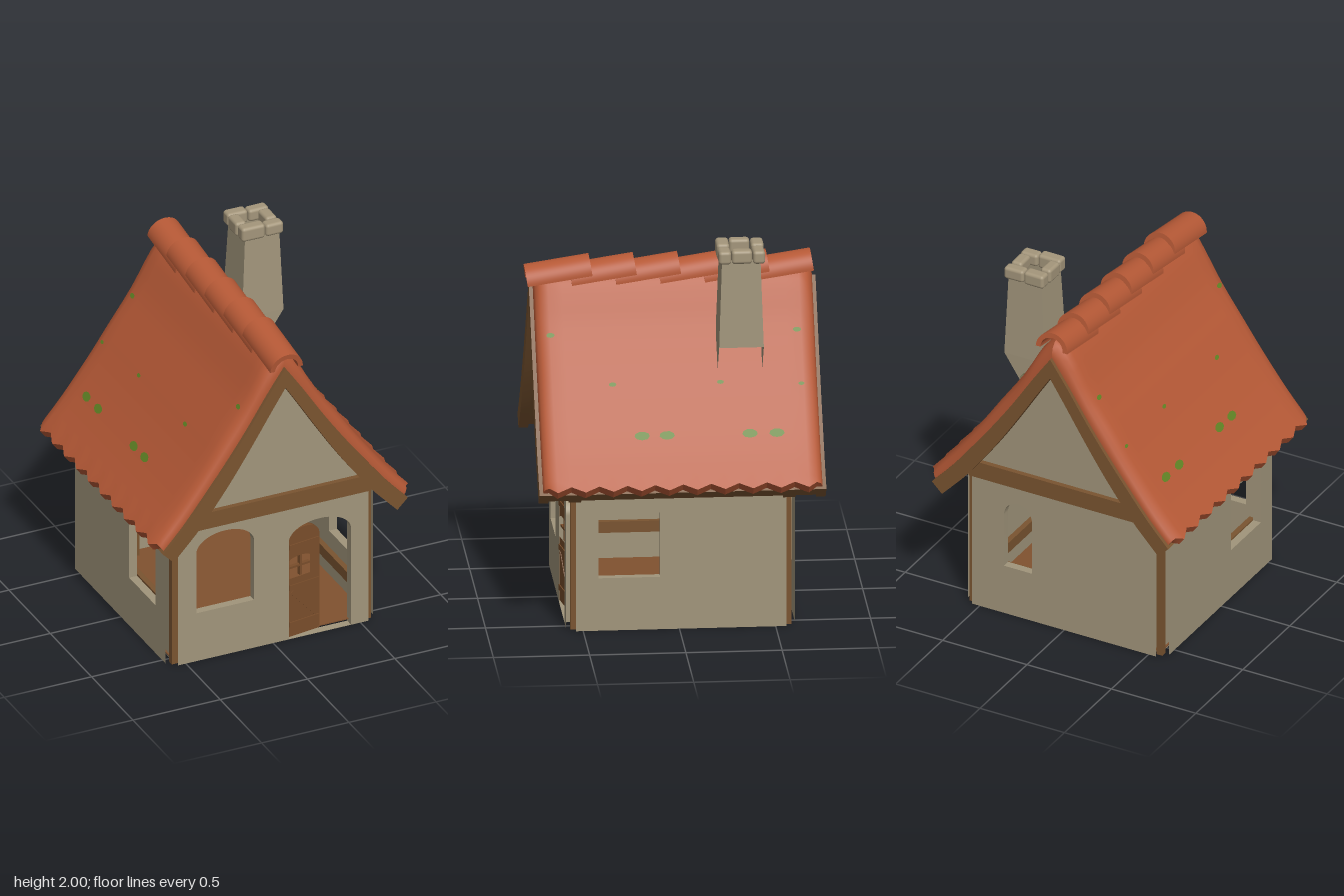
import * as THREE from 'three';
import { toCreasedNormals } from 'three/addons/utils/BufferGeometryUtils.js';
import { RoundedBoxGeometry } from 'three/addons/geometries/RoundedBoxGeometry.js';

const mat = (name, color, side = THREE.FrontSide) => {
  const m = new THREE.MeshStandardMaterial({ color, side });
  m.name = name;
  return m;
};
const V2 = (x, y) => new THREE.Vector2(x, y);
const spline = (pts, n) => new THREE.SplineCurve(pts.map(p => V2(...p))).getPoints(n);

// Slope profiles of the right half, ridge to eave
const N = 18;
const tileTop = spline([[0, 1.81], [0.085, 1.725], [0.2, 1.525], [0.34, 1.325], [0.45, 1.165], [0.6, 0.967], [0.73, 0.814]], N);
const tileUnder = spline([[0, 1.715], [0.1, 1.57], [0.22, 1.385], [0.34, 1.215], [0.45, 1.07], [0.58, 0.905], [0.7, 0.774]], N);
const boardUnder = spline([[0, 1.6], [0.09, 1.46], [0.2, 1.285], [0.33, 1.09], [0.48, 0.89], [0.56, 0.8], [0.64, 0.715]], N);

export function createModel() {
  const plaster = mat('plaster', 0xa1957b, THREE.DoubleSide);
  const stone = mat('stone', 0xa4967b);
  const tile = mat('clay tile', 0xb65936);
  const wood = mat('timber', 0x7a5430);
  const doorWood = mat('door wood', 0x7a4e2b);
  const floorWood = mat('floor boards', 0x80522f);
  const moss = mat('moss', 0x5f8224, THREE.DoubleSide);

  const model = new THREE.Group();
  model.name = 'cottage';
  const house = new THREE.Group();
  house.name = 'house';
  house.position.z = -0.01;
  model.add(house);

  const add = (name, geo, material, x = 0, y = 0, z = 0, parent = house) => {
    const m = new THREE.Mesh(geo, material);
    m.name = name;
    m.position.set(x, y, z);
    parent.add(m);
    return m;
  };
  const box = (name, w, h, d, material, x, y, z, parent) =>
    add(name, new THREE.BoxGeometry(w, h, d), material, x, y, z, parent);
  const extrude = (shape, depth) => new THREE.ExtrudeGeometry(shape, { depth, bevelEnabled: false, curveSegments: 14 });

  // Opening with an arched head; top equal to spring gives a rectangle
  const opening = (x0, x1, y0, spring, top, path = new THREE.Path()) => {
    path.moveTo(x0, y0).lineTo(x0, spring);
    if (top > spring) path.absellipse((x0 + x1) / 2, spring, (x1 - x0) / 2, top - spring, Math.PI, 0, true);
    else path.lineTo(x1, spring);
    path.lineTo(x1, y0);
    path.closePath();
    return path;
  };

  // Each wall is an outer skin and an inner skin, joined by reveals at its openings
  const SKIN = 0.045, OUT = 0.595;
  const wall = (name, half, top, holes, angle) => {
    const g = new THREE.Group();
    g.name = name;
    g.rotation.y = angle;
    house.add(g);
    const sheet = (w, z) => {
      const s = new THREE.Shape([V2(-w, 0), V2(w, 0), ...top.map(([x, y]) => V2(x * w / half, y))]);
      s.holes.push(...holes);
      add('plasterSkin', new THREE.ShapeGeometry(s, 14), plaster, 0, 0, z, g);
    };
    sheet(half, OUT);
    sheet(half - 0.02, OUT - SKIN);
    for (const h of holes) {
      const pos = [], idx = [];
      h.getPoints(14).forEach((p, i) => {
        pos.push(p.x, p.y, OUT, p.x, p.y, OUT - SKIN);
        if (i) idx.push(2 * i - 2, 2 * i - 1, 2 * i, 2 * i, 2 * i - 1, 2 * i + 1);
      });
      const r = new THREE.BufferGeometry();
      r.setAttribute('position', new THREE.Float32BufferAttribute(pos, 3));
      r.setIndex(idx);
      add('reveal', toCreasedNormals(r, 0.5), plaster, 0, 0, 0, g);
    }
  };
  const gableTop = [[0.545, 0.84], [0.49, 0.92], [0.22, 1.3], [0, 1.64], [-0.22, 1.3], [-0.49, 0.92], [-0.545, 0.84]];
  const eaveTop = [[0.547, 0.82], [-0.547, 0.82]];
  const sideWindow = s => opening(s * 0.27 - 0.16, s * 0.27 + 0.16, 0.285, 0.635, 0.635);
  wall('frontWall', 0.545, gableTop, [opening(-0.44, -0.11, 0.285, 0.64, 0.74), opening(0.09, 0.445, 0.002, 0.58, 0.68)], 0);
  wall('backWall', 0.545, gableTop, [opening(-0.357, -0.19, 0.285, 0.59, 0.68)], Math.PI);
  wall('leftWall', 0.547, eaveTop, [sideWindow(-1)], Math.PI / 2);
  wall('rightWall', 0.547, eaveTop, [sideWindow(1)], -Math.PI / 2);

  // Timber frame and floor
  for (const s of [-1, 1]) {
    box('wallRail', 0.03, 0.06, 1.03, wood, s * 0.495, 0.213, 0);
    for (const z of [-1, 1]) box('cornerPost', 0.034, 0.83, 0.034, wood, s * 0.554, 0.417, z * 0.558);
    box('gableBeam', 1.1, 0.095, 0.07, wood, 0, 0.838, s * 0.588);
  }
  box('backRail', 1.0, 0.06, 0.03, wood, 0, 0.213, -0.5);
  box('backPost', 0.03, 0.8, 0.03, wood, -0.27, 0.428, -0.5);
  box('floor', 1.12, 0.006, 1.13, floorWood, 0, 0.021, 0);

  // Narrow plank door with a four pane light, slightly ajar
  const door = new THREE.Group();
  door.name = 'door';
  door.position.set(0.091, 0.012, 0.592);
  door.rotation.y = 0.15;
  house.add(door);
  const leaf = opening(0, 0.19, 0, 0.57, 0.632, new THREE.Shape());
  leaf.holes.push(opening(0.005, 0.132, 0.345, 0.45, 0.468));
  add('doorLeaf', extrude(leaf, 0.03), doorWood, 0, 0, -0.03, door);
  box('doorMullion', 0.012, 0.12, 0.02, doorWood, 0.078, 0.405, -0.015, door);
  box('doorMuntin', 0.13, 0.012, 0.02, doorWood, 0.07, 0.405, -0.015, door);
  for (const y of [0.07, 0.29, 0.53]) box('doorRail', 0.18, 0.03, 0.006, doorWood, 0.095, y, 0.002, door);
  box('doorBrace', 0.23, 0.025, 0.006, doorWood, 0.095, 0.18, 0.001, door).rotation.z = -0.85;

  // Tiled slopes: a thick sheet with rolled verges and a zigzag eave
  const slopeGeometry = () => {
    const zs = [-0.725, -0.715, -0.695];
    for (let k = 0; k <= 18; k++) zs.push(-0.6525 + k * 0.0725);
    zs.push(0.695, 0.715, 0.725);
    const roll = [0.75, 0.4, 0.14], last = zs.length - 1;
    const R = 2 * (N + 1), pos = [], idx = [];
    zs.forEach((z, j) => {
      const f = roll[Math.min(j, last - j)] ?? 0;
      const tip = f === 0 && j % 2 ? 0.015 : -0.012;
      const ring = [...tileTop.map((p, i) => p.clone().lerp(tileUnder[i], f)), ...[...tileUnder].reverse()];
      ring.forEach((p, i) => {
        const eave = i === N || i === N + 1 ? tip : 0;
        pos.push(p.x + eave, p.y - eave * 0.8, z);
      });
    });
    const id = (i, j) => j * R + (i % R);
    for (let j = 0; j < last; j++) for (let i = 0; i < R; i++)
      idx.push(id(i, j), id(i, j + 1), id(i + 1, j), id(i + 1, j), id(i, j + 1), id(i + 1, j + 1));
    for (let i = 0; i < N; i++) {
      const a = i, b = R - 1 - i, c = i + 1, d = R - 2 - i;
      idx.push(id(a, last), id(b, last), id(c, last), id(c, last), id(b, last), id(d, last));
      idx.push(id(a, 0), id(c, 0), id(b, 0), id(c, 0), id(d, 0), id(b, 0));
    }
    const g = new THREE.BufferGeometry();
    g.setAttribute('position', new THREE.Float32BufferAttribute(pos, 3));
    g.setIndex(idx);
    return toCreasedNormals(g, 0.7);
  };
  const slope = slopeGeometry();
  add('leftRoofSlope', slope, tile);
  add('rightRoofSlope', slope, tile).rotation.y = Math.PI;

  // Timber chevrons under the tiles: lining, bargeboards and rafters
  const chevron = (name, under, depth, z) => {
    const right = [...tileUnder, ...[...under].reverse()];
    for (const s of [1, -1]) {
      const shape = new THREE.Shape(right.map(p => V2(s * p.x, p.y)));
      add(name, toCreasedNormals(extrude(shape, depth), 0.5), wood, 0, 0, z - depth / 2);
    }
  };
  chevron('roofLining', tileUnder.map((p, i) => p.clone().lerp(boardUnder[i], 0.75)), 1.42, 0);
  for (const s of [-1, 1]) {
    chevron('bargeboard', boardUnder, 0.05, s * 0.72);
    chevron('rafter', boardUnder, 0.065, s * 0.557);
  }

  // Overlapping ridge tiles
  const cap = new THREE.Shape().absarc(0, 0, 0.093, 0, Math.PI, false);
  cap.lineTo(-0.066, 0).absarc(0, 0, 0.066, Math.PI, 0, true);
  const capGeo = toCreasedNormals(extrude(cap, 0.34), 0.6);
  for (let k = 0; k < 6; k++)
    add('ridgeTile', capGeo, tile, 0, 1.767, 0.42 - 0.23 * k).rotation.x = 0.15;

  // Moss patches lying on the slopes
  const mossGeo = new THREE.CircleGeometry(1, 9);
  mossGeo.rotateX(-Math.PI / 2);
  const patches = [[1.035, 0.2, 0.04], [1.035, 0.07, 0.04], [1.035, -0.36, 0.04], [1.035, -0.5, 0.04],
    [1.49, 0.65, 0.022], [1.265, 0.34, 0.02], [1.265, -0.22, 0.018], [1.49, -0.63, 0.022], [1.25, -0.64, 0.016]];
  for (const s of [1, -1]) for (const [y, z, r] of patches) {
    const i = tileTop.findIndex(p => p.y < y), a = tileTop[i - 1], b = tileTop[i];
    const x = a.x + (b.x - a.x) * (a.y - y) / (a.y - b.y);
    const p = add('mossPatch', mossGeo, moss, s * (x + 0.004), y + 0.004, z);
    p.rotation.z = s * Math.atan2(b.y - a.y, b.x - a.x);
    p.scale.set(r * 0.6, 1, r);
  }

  // Hollow tapered chimney, open below, its outer face stopping short of the roof
  const rings = [
    [0.227, 0.423, 1.94, 1.94, 0.1], [0.203, 0.44, 1.47, 1.47, 0.116], [0.203, 0.34, 1.42, 1.32, 0.116],
  ].map(([l, r, yl, yr, h]) => [[l, yl, h], [r, yr, h], [r, yr, -h], [l, yl, -h]]);
  const shaft = new THREE.BufferGeometry(), idx = [];
  shaft.setAttribute('position', new THREE.Float32BufferAttribute(rings.flat(2), 3));
  for (let k = 0; k < 2; k++) for (let i = 0; i < 4; i++) {
    if (k === 1 && i === 1) continue;
    const a = k * 4 + i, b = k * 4 + (i + 1) % 4;
    idx.push(a, a + 4, b, b, a + 4, b + 4);
  }
  shaft.setIndex(idx);
  const shaftFlat = shaft.toNonIndexed();
  shaftFlat.computeVertexNormals();
  add('chimney', shaftFlat, plaster, 0, 0, -0.335, model);

  // Ring of rounded stones on the chimney: x0, x1, z0, z1, height
  const stones = [[0.205, 0.322, -0.462, -0.395, 0.075], [0.326, 0.442, -0.458, -0.395, 0.07],
    [0.2, 0.262, -0.392, -0.285, 0.08], [0.372, 0.436, -0.392, -0.285, 0.072],
    [0.204, 0.337, -0.282, -0.215, 0.08], [0.341, 0.442, -0.282, -0.217, 0.07]];
  stones.forEach(([x0, x1, z0, z1, h], i) => {
    const g = new RoundedBoxGeometry(x1 - x0, h, z1 - z0, 3, 0.017);
    add('chimneyStone', g, stone, (x0 + x1) / 2, 1.92 + h / 2, (z0 + z1) / 2, model)
      .rotation.y = (i % 2 ? 1 : -1) * 0.015;
  });

  return model;
}
